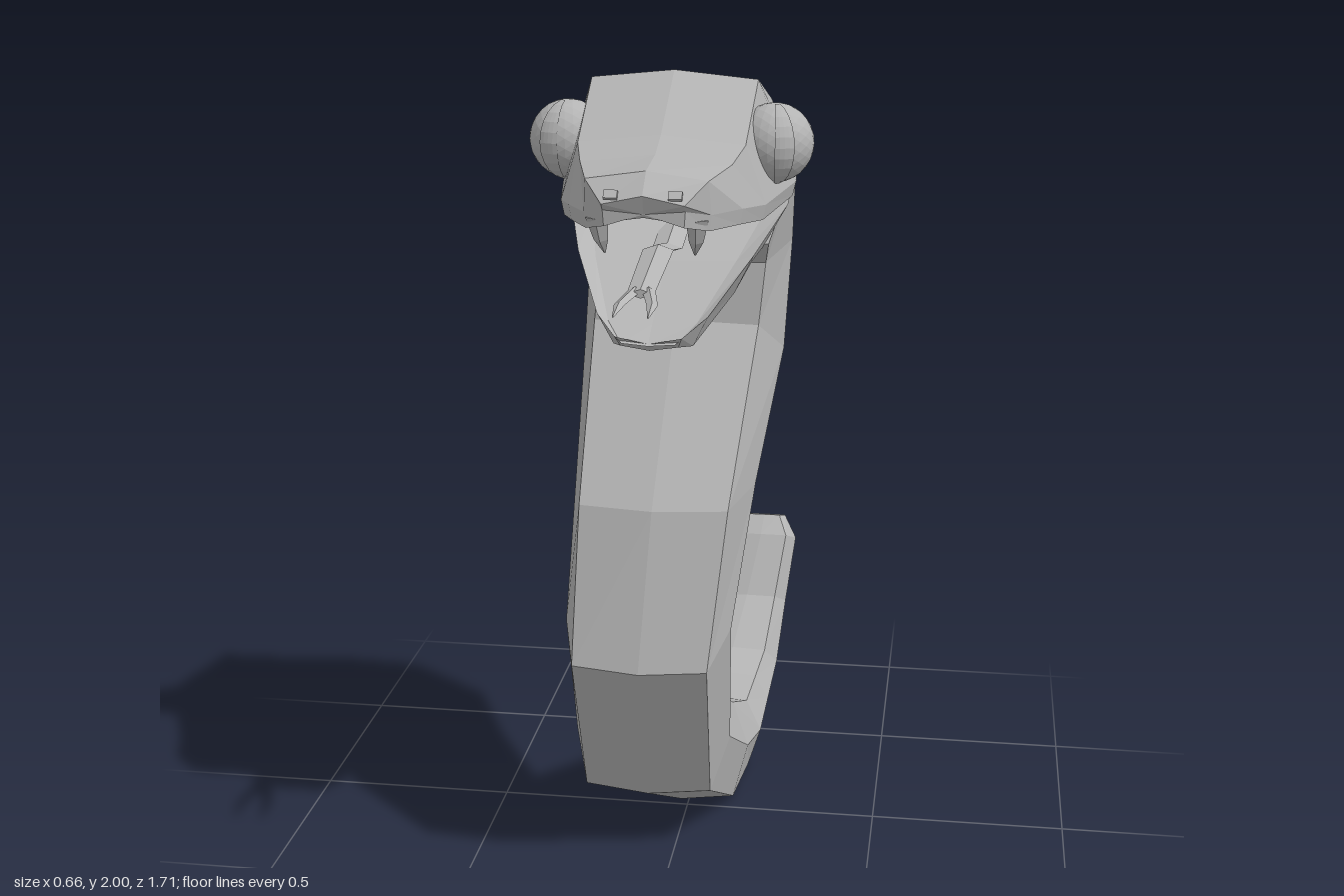
import * as THREE from 'three';

const skin = new THREE.MeshStandardMaterial({ color: 0xb4b4b4, flatShading: true });
skin.name = 'grey skin';

// Closed ring from a half outline [x, y, z] running top centre -> +x side -> bottom centre
function ring(half, c = 0) {
  const other = half.slice(1, -1).reverse().map(([x, y, z]) => [-x, y, z]);
  return [...half, ...other].map(([x, y, z]) => [x + c, y, z]);
}

// Cross-section between a back point and a belly point in the z/y plane
const BODY = [[0, 0], [0.74, 0.05], [1, 0.45], [0.8, 0.94], [0, 1]];
const DIAMOND = [[0, 0], [1, 0.5], [0, 1]];
function section([c, w, bz, by, fz, fy], outline = BODY) {
  return ring(outline.map(([u, t]) => [u * w, by + (fy - by) * t, bz + (fz - bz) * t]), c);
}

// Faceted skin through a list of rings, capped at both ends
function loft(name, rings) {
  const pos = [], n = rings[0].length;
  const mid = r => [0, 1, 2].map(k => r.reduce((s, p) => s + p[k], 0) / n);
  const first = rings[0], last = rings[rings.length - 1];
  const m0 = mid(first), m1 = mid(last);
  for (let j = 0; j < n; j++) {
    const k = (j + 1) % n;
    for (let i = 0; i < rings.length - 1; i++) {
      const a = rings[i][j], b = rings[i][k], c = rings[i + 1][j], d = rings[i + 1][k];
      pos.push(...a, ...c, ...b, ...b, ...c, ...d);
    }
    pos.push(...m0, ...first[j], ...first[k], ...m1, ...last[k], ...last[j]);
  }
  const g = new THREE.BufferGeometry();
  g.setAttribute('position', new THREE.Float32BufferAttribute(pos, 3));
  g.computeVertexNormals();
  const mesh = new THREE.Mesh(g, skin);
  mesh.name = name;
  return mesh;
}

export function createModel() {
  const model = new THREE.Group();
  model.name = 'snake';

  // Body from tail tip to neck: centre x, half width, back z/y, belly z/y
  model.add(loft('body', [
    [0.12, 0.06, -0.80, 0.565, -0.85, 0.55],
    [0.115, 0.10, -0.75, 0.52, -0.855, 0.47],
    [0.085, 0.11, -0.66, 0.36, -0.77, 0.29],
    [0.06, 0.125, -0.52, 0.25, -0.61, 0.13],
    [0.035, 0.14, -0.41, 0.22, -0.42, 0.05],
    [0.01, 0.16, -0.28, 0.205, -0.24, 0.005],
    [-0.02, 0.175, -0.11, 0.28, -0.03, 0.005],
    [-0.065, 0.2, 0.09, 0.40, 0.27, 0.17],
    [-0.05, 0.205, 0.20, 0.72, 0.50, 0.60],
    [-0.03, 0.225, 0.00, 1.00, 0.40, 0.98],
    [-0.015, 0.255, -0.17, 1.20, 0.11, 1.38],
    [0, 0.255, -0.21, 1.58, 0.10, 1.52],
    [0, 0.27, -0.06, 1.91, 0.15, 1.56],
  ].map(s => section(s))));

  // Upper head: top z/y/half width, lip z/y/half width, palate height
  model.add(loft('upperHead', [
    [-0.06, 1.91, 0.20, 0.02, 1.73, 0.27, 1.73],
    [0.21, 1.99, 0.195, 0.14, 1.70, 0.28, 1.73],
    [0.42, 1.87, 0.19, 0.40, 1.69, 0.235, 1.73],
    [0.50, 1.84, 0.17, 0.51, 1.70, 0.195, 1.73],
    [0.63, 1.825, 0.135, 0.62, 1.705, 0.14, 1.73],
    [0.685, 1.78, 0.09, 0.67, 1.72, 0.09, 1.73],
  ].map(([tz, ty, tw, lz, ly, lw, py]) => ring([
    [0, ty + 0.01, tz + 0.005], [tw, ty - 0.01, tz], [lw, ly + 0.035, lz], [lw * 0.97, ly, lz],
    [lw * 0.8, py, lz], [0, py + 0.01, lz]]))));

  // Lower jaw: rim z/y/half width, underside z/y/half width
  model.add(loft('lowerJaw', [
    [0.03, 1.725, 0.265, 0.13, 1.57, 0.2],
    [0.15, 1.68, 0.262, 0.17, 1.545, 0.18],
    [0.36, 1.60, 0.205, 0.27, 1.49, 0.15],
    [0.56, 1.50, 0.125, 0.55, 1.43, 0.09],
    [0.625, 1.465, 0.075, 0.605, 1.44, 0.065],
  ].map(([rz, ry, rw, uz, uy, uw]) => ring([
    [0, ry - 0.02, rz], [rw * 0.8, ry - 0.015, rz], [rw, ry, rz], [uw, uy, uz], [0, uy - 0.01, uz]]))));

  // Forked tongue
  const tongue = (name, list) => model.add(loft(name, list.map(([c, w, z, y, t]) =>
    section([c, w, z, y + t, z, y - t], DIAMOND))));
  tongue('tongue', [[0, 0.035, 0.1, 1.66, 0.012], [0, 0.035, 0.33, 1.605, 0.012],
    [0, 0.035, 0.47, 1.63, 0.012], [0, 0.03, 0.72, 1.585, 0.01]]);

  for (const s of [1, -1]) {
    tongue('tongueFork', [[s * 0.015, 0.015, 0.70, 1.588, 0.009],
      [s * 0.035, 0.012, 0.78, 1.575, 0.007], [s * 0.037, 0.002, 0.85, 1.565, 0.002]]);

    // Backward-curving fang
    model.add(loft('fang', [
      [s * 0.1, 0.002, 0.588, 1.645, 0.592, 1.645],
      [s * 0.105, 0.016, 0.595, 1.68, 0.622, 1.675],
      [s * 0.11, 0.025, 0.61, 1.73, 0.65, 1.73],
    ].map(f => section(f, DIAMOND))));

    // Eye with a slit pupil
    const eye = new THREE.Group();
    eye.name = 'eye';
    const ball = new THREE.Mesh(new THREE.IcosahedronGeometry(0.091, 4), skin);
    ball.name = 'eyeball';
    const slit = new THREE.Mesh(
      new THREE.SphereGeometry(0.094, 4, 10, Math.PI / 2 - 0.25, 0.5, 0.25, Math.PI - 0.5), skin);
    slit.name = 'pupil';
    eye.add(ball, slit);
    eye.position.set(s * 0.24, 1.845, 0.27);
    eye.rotation.y = s * 0.35;
    model.add(eye);

    // Nostril
    const nostril = new THREE.Mesh(new THREE.BoxGeometry(0.03, 0.02, 0.008), skin);
    nostril.name = 'nostril';
    nostril.position.set(s * 0.07, 1.79, 0.68);
    nostril.rotation.x = -0.7;
    model.add(nostril);
  }
  return model;
}
